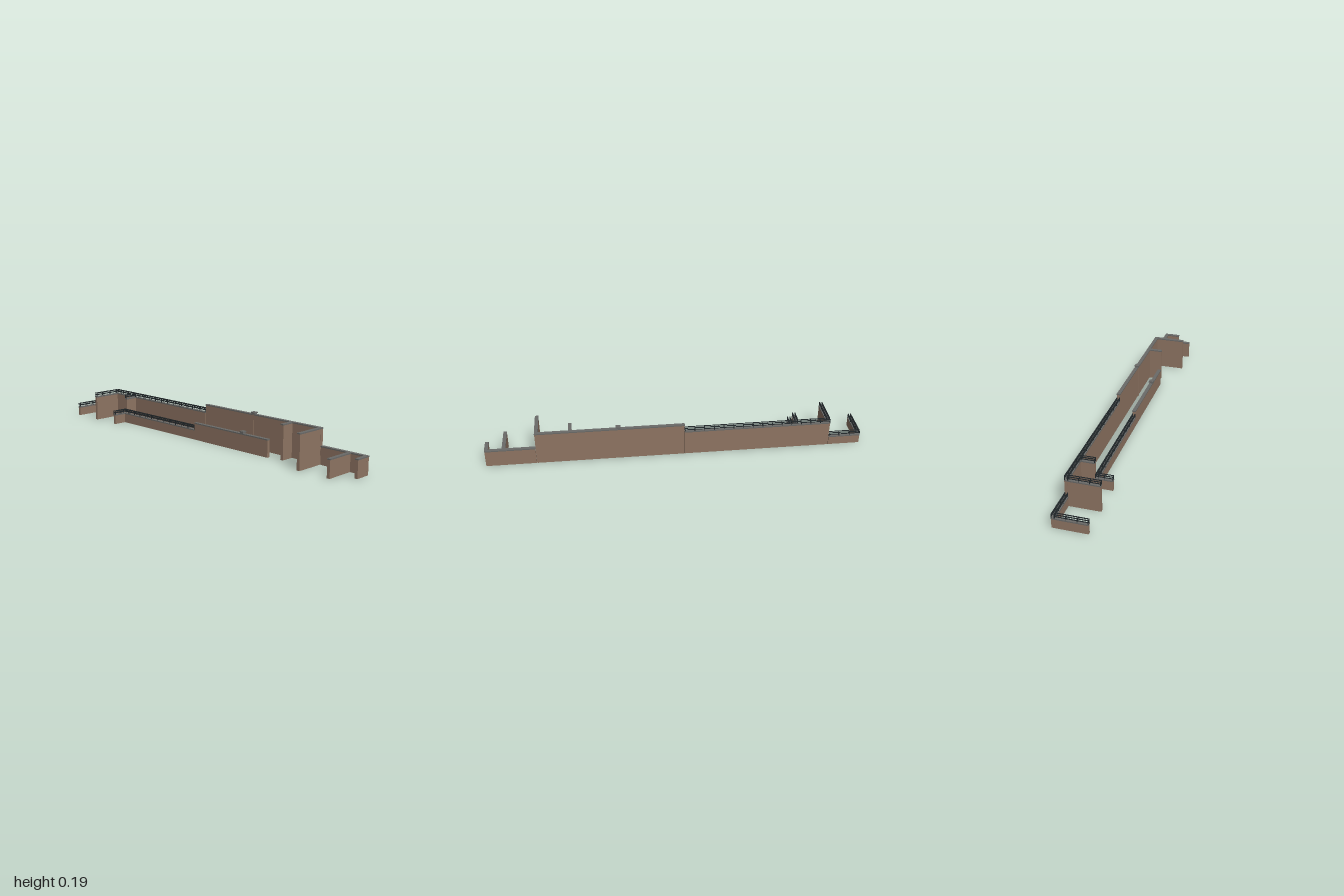
import * as THREE from 'three';

const wallMat = new THREE.MeshStandardMaterial({ color: 0x8f7563 });
wallMat.name = 'brown wall';
const copingMat = new THREE.MeshStandardMaterial({ color: 0x6a6a68 });
copingMat.name = 'grey coping';
const railMat = new THREE.MeshStandardMaterial({ color: 0x22282b });
railMat.name = 'dark railing';

const T = 0.016;      // wall thickness
const CAP_W = 0.019;  // coping width
const CAP_H = 0.006;  // coping height
const BACK = -0.078;  // centre line of the back wall
const FRONT = 0.008;  // centre line of the front wall

function box(parent, name, mat, x0, x1, y0, y1, z0, z1) {
  const mesh = new THREE.Mesh(new THREE.BoxGeometry(x1 - x0, y1 - y0, z1 - z0), mat);
  mesh.position.set((x0 + x1) / 2, (y0 + y1) / 2, (z0 + z1) / 2);
  mesh.name = name;
  parent.add(mesh);
}

// A straight wall with coping; along is 'x' or 'z', c is its centre line on the other axis
function wall(parent, name, along, a, b, c, height, railed = false) {
  const group = new THREE.Group();
  group.name = name;
  parent.add(group);
  const bar = (part, mat, from, to, y0, y1, mid, width) => along === 'x'
    ? box(group, part, mat, from, to, y0, y1, mid - width / 2, mid + width / 2)
    : box(group, part, mat, mid - width / 2, mid + width / 2, y0, y1, from, to);
  bar('wallBody', wallMat, a + 0.001, b - 0.001, 0, height - CAP_H, c, T);
  bar('coping', copingMat, a, b, height - CAP_H, height, c, CAP_W);
  if (!railed) return;

  // Twin railings, one along each edge of the coping
  const count = Math.max(1, Math.round((b - a) / 0.052));
  for (const side of [-1, 1]) {
    const mid = c + side * 0.0065;
    for (const y of [0.010, 0.020]) {
      bar('rail', railMat, a, b, height + y - 0.0015, height + y + 0.0015, mid, 0.004);
    }
    for (let i = 0; i <= count; i++) {
      const p = a + 0.002 + (b - a - 0.004) * i / count;
      bar('railPost', railMat, p - 0.0015, p + 0.0015, height, height + 0.022, mid, 0.003);
    }
  }
}

// Narrow pier rising through a wall, with a square cap
function pier(parent, x, z, height) {
  const group = new THREE.Group();
  group.name = 'pier';
  parent.add(group);
  const s = T / 2 + 0.0008;
  box(group, 'pierShaft', wallMat, x - 0.005, x + 0.005, 0, height - 0.012, z - s, z + s);
  box(group, 'pierNeck', copingMat, x - 0.010, x + 0.010, height - 0.012, height - 0.006, z - 0.010, z + 0.010);
  box(group, 'pierCap', copingMat, x - 0.013, x + 0.013, height - 0.006, height, z - 0.0125, z + 0.0125);
}

export function createModel() {
  const model = new THREE.Group();
  model.name = 'steppedWalls';

  // Back wall, stepping in height along its length
  const back = [
    [-0.998, -0.826, 0.052, true],
    [-0.826, -0.045, 0.14, true],
    [-0.045, 0.735, 0.182, false],
    [0.735, 0.998, 0.094, false],
  ];
  for (const [a, b, h, railed] of back) wall(model, 'backWall', 'x', a, b, BACK, h, railed);

  // Front wall
  wall(model, 'frontWall', 'x', -0.654, -0.045, FRONT, 0.056, true);
  wall(model, 'frontWall', 'x', -0.045, 0.475, FRONT, 0.094);

  // Cross walls: centre x, start z, end z, height, railed
  const start = BACK + T / 2;
  const cross = [
    [-0.9895, start, 0.088, 0.052, true],
    [-0.8175, start, 0.088, 0.14, true],
    [-0.645, start, 0, 0.14, true],
    [-0.645, 0, 0.088, 0.056, true],
    [0.552, start, 0, 0.182, false],
    [0.7255, start, 0.088, 0.182, false],
    [0.9, start, 0.088, 0.094, false],
    [0.9895, start, 0, 0.094, false],
  ];
  for (const [x, z0, z1, h, railed] of cross) wall(model, 'crossWall', 'z', z0, z1, x, h, railed);

  // Piers on both long walls
  pier(model, 0.302, BACK + 0.002, 0.193);
  pier(model, 0.302, FRONT, 0.106);

  return model;
}
